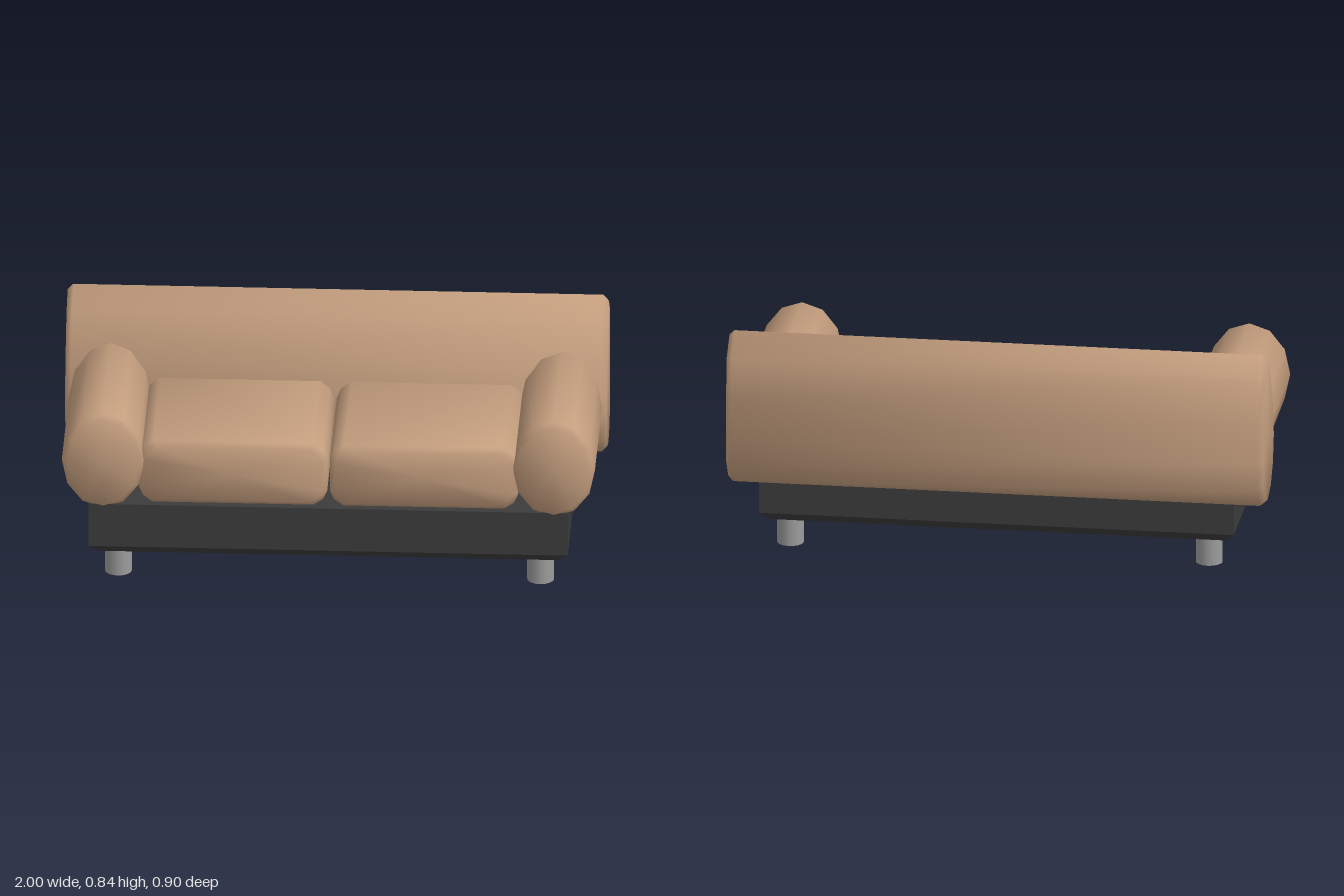
import * as THREE from 'three';
import { toCreasedNormals } from 'three/addons/utils/BufferGeometryUtils.js';

const fabric = new THREE.MeshStandardMaterial({ name: 'tan fabric', color: 0xc49e7e });
const frame = new THREE.MeshStandardMaterial({ name: 'dark frame', color: 0x3c3c3c });
const metal = new THREE.MeshStandardMaterial({ name: 'grey metal', color: 0x9c9c9c });

// Closed solid through rings of points, fan-capped at both ends
function loft(rings, crease) {
  const n = rings[0].length, pos = [], idx = [];
  rings.forEach(r => r.forEach(p => pos.push(...p)));
  for (let i = 0; i < rings.length - 1; i++) {
    for (let j = 0; j < n; j++) {
      const a = i * n + j, b = i * n + (j + 1) % n;
      idx.push(a, b, b + n, a, b + n, a + n);
    }
  }
  [rings[0], rings[rings.length - 1]].forEach((r, end) => {
    const c = pos.length / 3, base = end ? (rings.length - 1) * n : 0;
    pos.push(...[0, 1, 2].map(k => r.reduce((s, p) => s + p[k], 0) / n));
    for (let j = 0; j < n; j++) {
      const a = base + j, b = base + (j + 1) % n;
      if (end) idx.push(c, a, b); else idx.push(c, b, a);
    }
  });
  // Turn the faces outward if the signed volume is negative
  const v = i => new THREE.Vector3().fromArray(pos, i * 3);
  let volume = 0;
  for (let i = 0; i < idx.length; i += 3) volume += v(idx[i]).dot(v(idx[i + 1]).cross(v(idx[i + 2])));
  if (volume < 0) idx.reverse();
  const g = new THREE.BufferGeometry();
  g.setAttribute('position', new THREE.Float32BufferAttribute(pos, 3));
  g.setIndex(idx);
  return toCreasedNormals(g, crease);
}

// Profile swept from start to end with bevelled ends; place maps (u, v, t) to xyz
function bolster(profile, start, end, bevel, place) {
  const us = profile.map(p => p[0]), vs = profile.map(p => p[1]);
  const mid = a => (Math.min(...a) + Math.max(...a)) / 2;
  const half = a => (Math.max(...a) - Math.min(...a)) / 2;
  const ring = (t, inset) => profile.map(([u, v]) => place(
    mid(us) + (u - mid(us)) * (1 - inset / half(us)),
    mid(vs) + (v - mid(vs)) * (1 - inset / half(vs)), t));
  return loft([ring(start, bevel), ring(start + bevel, 0), ring(end - bevel, 0), ring(end, bevel)], 1.05);
}

export function createModel() {
  const model = new THREE.Group();
  model.name = 'sofa';
  const add = (name, geometry, material) => {
    const mesh = new THREE.Mesh(geometry, material);
    mesh.name = name;
    model.add(mesh);
    return mesh;
  };

  // Backrest, profile in (z, y)
  const backProfile = [
    [-0.335, 0.843], [-0.42, 0.776], [-0.443, 0.61], [-0.45, 0.455], [-0.435, 0.34],
    [-0.378, 0.265], [-0.295, 0.24], [-0.2, 0.267], [-0.133, 0.34], [-0.105, 0.45],
    [-0.12, 0.525], [-0.145, 0.62], [-0.235, 0.785],
  ];
  add('backrest', bolster(backProfile, -1, 1, 0.02, (z, y, x) => [x, y, z]), fabric);

  for (const side of [1, -1]) {
    const label = side > 0 ? 'left' : 'right';
    const alongZ = (x, y, z) => [side * x, y, z];

    // Armrest: twelve-sided oval roll
    const oval = Array.from({ length: 12 }, (_, i) => {
      const a = i * Math.PI / 6;
      return [0.833 + 0.152 * Math.sin(a), 0.488 + 0.192 * Math.cos(a)];
    });
    add(label + 'Armrest', bolster(oval, -0.27, 0.45, 0.018, alongZ), fabric);

    // Seat cushion with cut corners
    const cushion = [
      [0.005, 0.375], [0.02, 0.342], [0.055, 0.317], [0.65, 0.317], [0.685, 0.342], [0.7, 0.375],
      [0.7, 0.505], [0.685, 0.538], [0.65, 0.563], [0.055, 0.563], [0.02, 0.538], [0.005, 0.505],
    ];
    add(label + 'Cushion', bolster(cushion, -0.25, 0.435, 0.018, alongZ), fabric);

    // Legs
    for (const [place, z] of [['Front', 0.343], ['Back', -0.275]]) {
      const leg = add(label + place + 'Leg', new THREE.CylinderGeometry(0.05, 0.05, 0.115, 16), metal);
      leg.position.set(side * 0.78, 0.0575, z);
    }
  }

  // Base with a chamfered lower edge
  const rect = (y, inset) => [[1, 1], [1, -1], [-1, -1], [-1, 1]].map(
    ([sx, sz]) => [sx * (0.885 - inset), y, 0.036 + sz * (0.408 - inset)]);
  add('base', loft([rect(0.107, 0.036), rect(0.143, 0), rect(0.315, 0)], 0.3), frame);

  return model;
}
